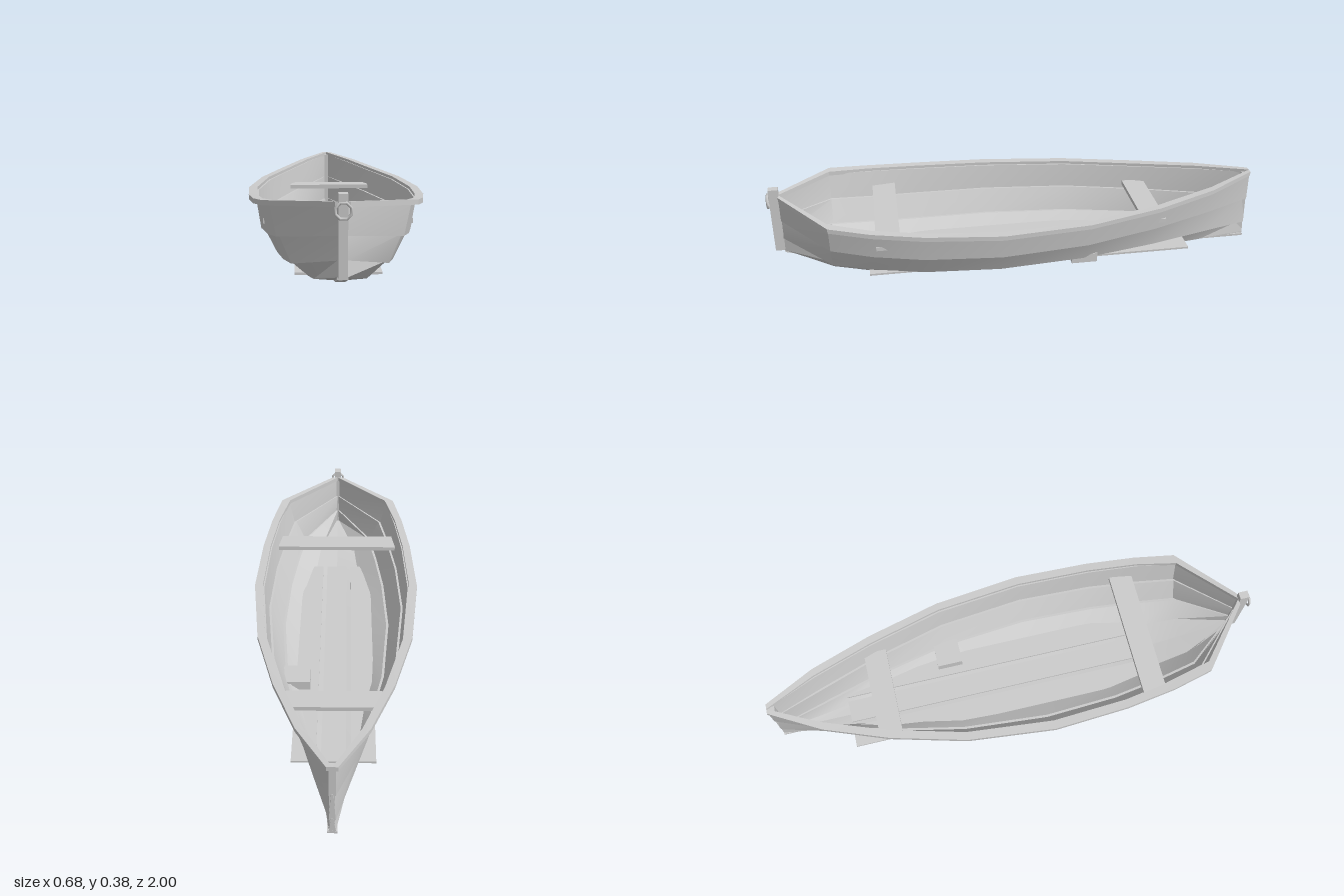
import * as THREE from 'three';
import { toCreasedNormals } from 'three/addons/utils/BufferGeometryUtils.js';

// Stations from stern (-z) to bow (+z), with half-breadths and heights of each plank edge
const Z = [-1, -0.8, -0.55, -0.25, 0.1, 0.4, 0.6, 0.76, 0.952];
const sheer = {
  x: [0.012, 0.105, 0.195, 0.275, 0.311, 0.298, 0.272, 0.238, 0.015],
  y: [0.3, 0.285, 0.272, 0.268, 0.272, 0.286, 0.302, 0.32, 0.344],
};
const upperLap = {
  x: [0.012, 0.09, 0.178, 0.258, 0.294, 0.28, 0.25, 0.215, 0.015],
  y: [0.18, 0.172, 0.166, 0.163, 0.163, 0.172, 0.187, 0.208, 0.246],
};
const lowerLap = {
  x: [0.012, 0.07, 0.14, 0.205, 0.235, 0.222, 0.195, 0.165, 0.015],
  y: [0.065, 0.068, 0.07, 0.072, 0.073, 0.08, 0.096, 0.115, 0.167],
};
const chine = {
  x: [0.012, 0.04, 0.08, 0.12, 0.14, 0.13, 0.108, 0.09, 0.015],
  y: [0.012, 0.013, 0.015, 0.018, 0.021, 0.024, 0.035, 0.062, 0.112],
};
const keelY = [0.004, 0.004, 0.005, 0.006, 0.008, 0.012, 0.022, 0.055, 0.108];
const railOuter = [0.02, 0.13, 0.222, 0.302, 0.34, 0.325, 0.298, 0.262, 0.025];
const railInner = [0, 0.1, 0.19, 0.272, 0.307, 0.293, 0.266, 0.224, 0];

// Closed loft through four-cornered sections, listed clockwise as seen from the bow
function loft(section, side = 1) {
  const pos = [], idx = [];
  Z.forEach((z, i) => {
    let ring = section(i);
    if (side < 0) ring = ring.map(([x, y]) => [-x, y]).reverse();
    ring.forEach(([x, y]) => pos.push(x, y, z));
  });
  for (let i = 0; i < Z.length - 1; i++) {
    for (let j = 0; j < 4; j++) {
      const a = i * 4 + j, b = i * 4 + (j + 1) % 4, c = b + 4, d = a + 4;
      idx.push(a, d, c, a, c, b);
    }
  }
  const e = (Z.length - 1) * 4;
  idx.push(0, 1, 2, 0, 2, 3, e, e + 2, e + 1, e, e + 3, e + 2);
  const g = new THREE.BufferGeometry();
  g.setAttribute('position', new THREE.Float32BufferAttribute(pos, 3));
  g.setIndex(idx);
  return toCreasedNormals(g, 0.45);
}

// Plank between two edges; its top tucks inside the plank above
function plank(top, bottom, tuck) {
  const inside = (x) => Math.max(0, x - 0.01);
  return (i) => {
    const tx = Math.max(0.004, top.x[i] - tuck), ty = top.y[i] + tuck;
    const bx = bottom.x[i], by = bottom.y[i];
    return [[tx, ty], [bx, by], [inside(bx), by + 0.003], [inside(tx), ty]];
  };
}

export function createModel() {
  const boat = new THREE.Group();
  boat.name = 'rowingBoat';
  const wood = new THREE.MeshStandardMaterial({ color: 0xcccccc });
  wood.name = 'paleGrey';

  const add = (name, geometry) => {
    const mesh = new THREE.Mesh(geometry, wood);
    mesh.name = name;
    boat.add(mesh);
    return mesh;
  };
  // Box given by its limits on each axis
  const box = (name, x0, x1, y0, y1, z0, z1) =>
    add(name, new THREE.BoxGeometry(x1 - x0, y1 - y0, z1 - z0))
      .position.set((x0 + x1) / 2, (y0 + y1) / 2, (z0 + z1) / 2);

  // Overlapping hull planks, bottom and rail on both sides
  for (const [label, side] of [['left', 1], ['right', -1]]) {
    add(label + 'SheerPlank', loft(plank(sheer, upperLap, 0), side));
    add(label + 'MiddlePlank', loft(plank(upperLap, lowerLap, 0.008), side));
    add(label + 'LowerPlank', loft(plank(lowerLap, chine, 0.008), side));
    add(label + 'BottomPlank', loft((i) => [
      [chine.x[i], chine.y[i] + 0.004],
      [chine.x[i], chine.y[i]],
      [0, keelY[i]],
      [0, keelY[i] + 0.008],
    ], side));
    add(label + 'Rail', loft((i) => {
      const top = sheer.y[i] + 0.012, low = top - 0.018;
      return [[railOuter[i], top], [railOuter[i], low], [railInner[i], low], [railInner[i], top]];
    }, side));
  }

  // Keel strip, stem and stern posts
  add('keel', loft((i) => [
    [0.018, keelY[i] + 0.005], [0.018, keelY[i] - 0.004],
    [-0.018, keelY[i] - 0.004], [-0.018, keelY[i] + 0.005],
  ]));
  box('stemPost', -0.015, 0.015, 0.112, 0.385, 0.95, 0.988);
  box('sternPost', -0.01, 0.01, 0.006, 0.3, -0.998, -0.97);

  // Mooring ring on the stem
  const ring = add('mooringRing', new THREE.TorusGeometry(0.027, 0.005, 6, 8));
  ring.rotation.z = Math.PI / 8;
  ring.position.set(0, 0.332, 0.994);

  // Seats
  box('frontSeat', -0.265, 0.265, 0.221, 0.238, 0.49, 0.585);
  box('rearSeat', -0.18, 0.18, 0.193, 0.21, -0.59, -0.497);

  // Floorboards
  box('centreFloorboard', -0.046, 0.046, 0.043, 0.051, -0.705, 0.62);
  box('leftFloorboard', 0.065, 0.156, 0.043, 0.051, -0.705, 0.62);
  box('rightFloorboard', -0.156, -0.065, 0.043, 0.051, -0.705, 0.62);

  // Small storage box on the floor
  box('storageBox', 0.098, 0.206, 0.051, 0.09, -0.3, -0.195);

  return boat;
}
